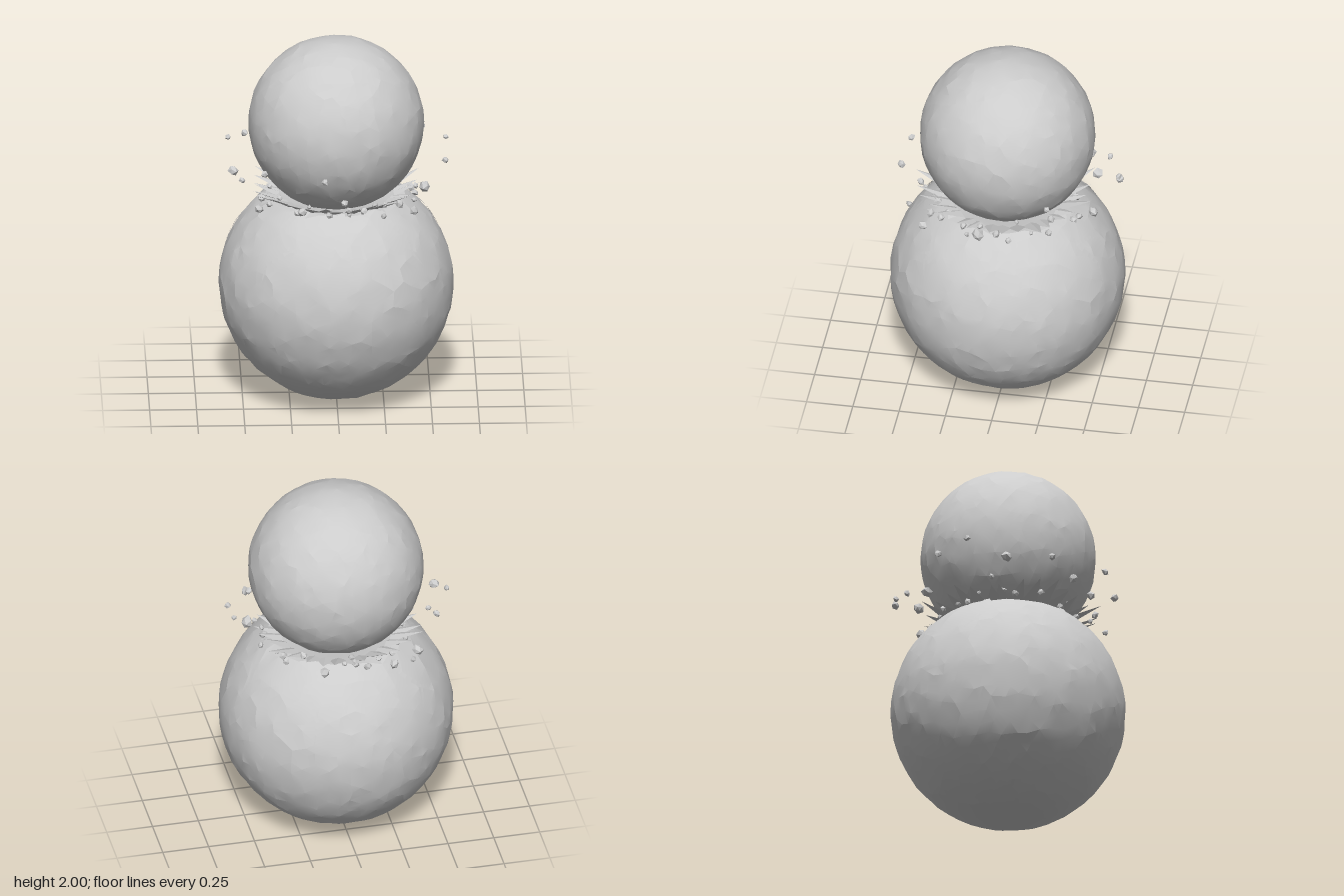
import * as THREE from 'three';
import { mergeVertices, toCreasedNormals } from 'three/addons/utils/BufferGeometryUtils.js';

const BODY_R = 0.625, BODY_Y = 0.625, HEAD_R = 0.468, HEAD_Y = 1.532, RIM_Y = 1.14;
const grey = new THREE.MeshStandardMaterial({ color: 0xcccccc });
const facet = new THREE.MeshStandardMaterial({ color: 0xcccccc, flatShading: true });
const thin = new THREE.MeshStandardMaterial({ color: 0xcccccc, flatShading: true, side: THREE.DoubleSide });

// Small seeded generator
function seeded(s) {
  return () => {
    s = (s * 16807) % 2147483647;
    return s / 2147483647;
  };
}

// Chipped snowball: a fine icosphere with its vertices shifted, then shaped by a rule
function snowball(radius, detail, seed, rule) {
  let g = new THREE.IcosahedronGeometry(1, detail);
  g.deleteAttribute('normal');
  g.deleteAttribute('uv');
  g = mergeVertices(g, 1e-4);
  const rnd = seeded(seed), p = g.attributes.position, v = new THREE.Vector3();
  const step = 0.55 / (detail + 1);
  for (let i = 0; i < p.count; i++) {
    v.fromBufferAttribute(p, i);
    v.x += (rnd() - 0.5) * step;
    v.y += (rnd() - 0.5) * step;
    v.z += (rnd() - 0.5) * step;
    v.setLength(radius * (0.993 + rnd() * 0.012));
    if (rule) rule(v);
    p.setXYZ(i, v.x, v.y, v.z);
  }
  return toCreasedNormals(g, 0.2);
}

// Point on the body from an angle about y (0 = front) and a height
function onBody(az, y) {
  const r = Math.sqrt(Math.max(0, BODY_R ** 2 - (y - BODY_Y) ** 2));
  return new THREE.Vector3(Math.sin(az) * r, y - BODY_Y, Math.cos(az) * r);
}

// Tapered ribbon that follows the body along a jagged path
function crack(path, width) {
  const pts = [], sub = 4;
  for (let i = 0; i < path.length - 1; i++)
    for (let k = 0; k < sub; k++) {
      const t = k / sub, [a, b] = [path[i], path[i + 1]];
      pts.push(onBody(a[0] + (b[0] - a[0]) * t, a[1] + (b[1] - a[1]) * t));
    }
  pts.push(onBody(...path[path.length - 1]));
  const pos = [], idx = [];
  pts.forEach((p, i) => {
    const dir = pts[Math.min(i + 1, pts.length - 1)].clone().sub(pts[Math.max(i - 1, 0)]);
    const side = p.clone().cross(dir).normalize();
    const w = width * (1 - i / (pts.length - 1)) ** 0.6 / 2;
    for (const s of [-1, 1]) {
      const q = p.clone().addScaledVector(side, s * w).setLength(BODY_R + 0.004);
      pos.push(q.x, q.y + BODY_Y, q.z);
    }
    if (i) {
      const n = i * 2;
      idx.push(n - 2, n, n - 1, n - 1, n, n + 1);
    }
  });
  const g = new THREE.BufferGeometry();
  g.setAttribute('position', new THREE.Float32BufferAttribute(pos, 3));
  g.setIndex(idx);
  g.computeVertexNormals();
  return g;
}

// Main cracks and their side branches as [angle, height]
const CRACKS = [
  [[-0.6, 1.13], [-0.72, 1.06], [-0.52, 0.97], [-0.73, 0.88], [-0.74, 0.79]],
  [[0.05, 1.14], [0.08, 1.07], [0.12, 0.98], [0.14, 0.86]],
  [[0.65, 1.13], [0.72, 1.06], [0.85, 0.98], [0.8, 0.93], [0.9, 0.84]],
  [[1.6, 1.14], [1.8, 1.04], [1.88, 0.96], [1.85, 0.88]],
  [[2.8, 1.13], [2.62, 1.02], [2.75, 0.9], [2.73, 0.77]],
  [[-2.4, 1.13], [-2.52, 1.05], [-2.35, 0.95], [-2.45, 0.85]],
  [[-1.75, 1.13], [-1.62, 1.05], [-1.75, 0.95], [-1.65, 0.83]],
];
const BRANCHES = [
  [[-0.52, 0.97], [-0.42, 0.98], [-0.33, 0.96]],
  [[0.08, 1.07], [-0.05, 1.03]],
  [[0.85, 0.98], [0.68, 0.94]],
  [[2.64, 1.03], [2.85, 1.01], [2.95, 0.95]],
  [[-2.35, 0.95], [-2.2, 0.92]],
  [[-1.75, 0.95], [-1.88, 0.88]],
];

// Larger flying chunks as [x, y, z, size]
const CHUNKS = [
  [-0.57, 1.4, -0.14, 0.018], [-0.48, 1.36, -0.31, 0.02], [-0.55, 1.29, 0.07, 0.03],
  [-0.36, 1.2, -0.39, 0.033], [-0.31, 1.22, -0.5, 0.02], [-0.22, 1.17, -0.45, 0.028],
  [-0.5, 1.2, -0.02, 0.017], [-0.39, 1.35, 0.29, 0.02], [-0.42, 1.2, 0.41, 0.028],
  [-0.19, 1.2, 0.47, 0.028], [-0.07, 1.39, 0.53, 0.019], [0.03, 1.28, 0.57, 0.022],
  [0.06, 1.2, 0.46, 0.02], [0.24, 1.18, 0.49, 0.018], [0.33, 1.2, 0.36, 0.024],
  [0.41, 1.17, 0.39, 0.026], [0.41, 1.24, 0.29, 0.02], [0.47, 1.19, 0.08, 0.036],
  [0.58, 1.33, 0.05, 0.018], [0.59, 1.39, -0.15, 0.015], [0.47, 1.4, -0.29, 0.018],
  [0.38, 1.29, -0.42, 0.022], [0.17, 1.2, -0.49, 0.028], [0.05, 1.36, -0.61, 0.017],
  [-0.04, 1.28, -0.6, 0.022],
];

export function createModel() {
  const model = new THREE.Group();
  const add = (name, geo, mat, parent = model) => {
    const m = new THREE.Mesh(geo, mat);
    m.name = name;
    parent.add(m);
    return m;
  };
  const group = (name) => {
    const g = new THREE.Group();
    g.name = name;
    model.add(g);
    return g;
  };

  // Body with its top pressed into a shallow crater
  const body = add('body', snowball(BODY_R, 10, 17, (v) => {
    const rim = RIM_Y - BODY_Y;
    if (v.y > rim) v.y = rim - 0.07 * Math.max(0, 1 - Math.hypot(v.x, v.z) / 0.34);
  }), grey);
  body.position.y = BODY_Y;

  // Head resting in the crater
  add('head', snowball(HEAD_R, 8, 91), grey).position.y = HEAD_Y;

  // Cracks running down from the crater
  const cracks = group('cracks');
  CRACKS.forEach((c) => add('crack', crack(c, 0.036), thin, cracks));
  BRANCHES.forEach((c) => add('crackBranch', crack(c, 0.022), thin, cracks));

  // Jagged shards leaning outward around the rim
  const rnd = seeded(4242), up = new THREE.Vector3(0, 1, 0), shards = group('rimShards');
  const count = 30;
  for (let i = 0; i < count; i++) {
    const az = ((i + (rnd() - 0.5) * 0.6) / count) * Math.PI * 2;
    const len = 0.1 + rnd() * 0.11, tilt = 0.3 + rnd() * 0.2;
    const geo = new THREE.ConeGeometry(0.048, len, 4);
    geo.translate(0, len / 2, 0).scale(1, 1, 0.3);
    const holder = new THREE.Group();
    holder.rotation.y = az;
    const m = add('shard', geo, facet, holder);
    m.position.set(0, RIM_Y - 0.005, 0.31);
    m.rotation.set(Math.PI / 2 - tilt, 0, (rnd() - 0.5) * 0.4);
    shards.add(holder);
  }

  // Loose chunks: the listed ones, then small crumbs close to the rim
  const debris = group('debris');
  const chunk = (x, y, z, size) => {
    const geo = mergeVertices(new THREE.IcosahedronGeometry(size, 0).deleteAttribute('uv').deleteAttribute('normal'));
    const p = geo.attributes.position;
    for (let i = 0; i < p.count; i++) {
      const k = 0.7 + rnd() * 0.5;
      p.setXYZ(i, p.getX(i) * k, p.getY(i) * k, p.getZ(i) * k);
    }
    geo.computeVertexNormals();
    const m = add('chunk', geo, facet, debris);
    m.position.set(x, y, z);
    m.quaternion.setFromAxisAngle(up, rnd() * 6);
  };
  CHUNKS.forEach((c) => chunk(...c));
  for (let i = 0; i < 26; i++) {
    const az = (i / 26) * Math.PI * 2 + rnd() * 0.2, r = 0.35 + rnd() * 0.09;
    chunk(Math.sin(az) * r, 1.13 + rnd() * 0.06, Math.cos(az) * r, 0.012 + rnd() * 0.012);
  }
  return model;
}
